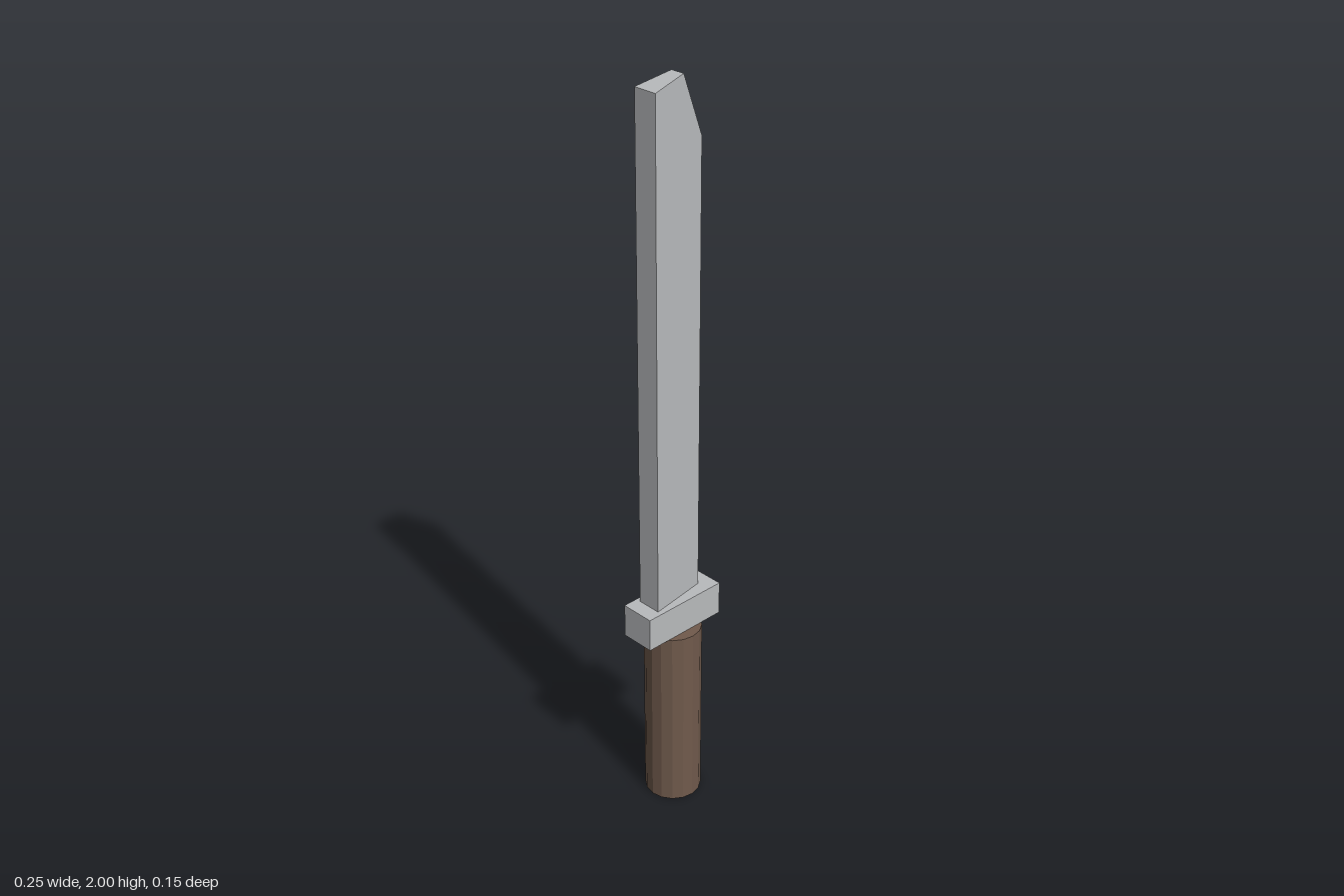
import * as THREE from 'three';

export function createModel() {
  const model = new THREE.Group();
  const steel = new THREE.MeshStandardMaterial({ name: 'steel', color: 0xb8babc, flatShading: true });
  const wood = new THREE.MeshStandardMaterial({ name: 'brown wood', color: 0x705a4c, flatShading: true });
  const offsetZ = -0.0015;

  const add = (name, geometry, material, y, z = 0) => {
    const mesh = new THREE.Mesh(geometry, material);
    mesh.name = name;
    mesh.position.set(0, y, z);
    model.add(mesh);
  };

  // Round grip with sixteen sides
  add('handle', new THREE.CylinderGeometry(0.076, 0.076, 0.528, 16), wood, 0.264);

  // Block between grip and blade
  add('guard', new THREE.BoxGeometry(0.249, 0.093, 0.095), steel, 0.5745, offsetZ);

  // Blade outline, extruded to unit depth
  const outline = new THREE.Shape([
    [-0.083, 0.6], [0.083, 0.6], [0.083, 1.84], [0.016, 2], [-0.083, 1.98],
  ].map(([x, y]) => new THREE.Vector2(x, y)));
  const blade = new THREE.ExtrudeGeometry(outline, { depth: 1, bevelEnabled: false });
  blade.translate(0, 0, -0.5);

  // Thin the blade from the thick spine (-x) to the narrow edge (+x)
  const pos = blade.attributes.position;
  for (let i = 0; i < pos.count; i++) {
    const t = (pos.getX(i) + 0.083) / 0.166;
    pos.setZ(i, pos.getZ(i) * THREE.MathUtils.lerp(0.067, 0.02, t));
  }
  blade.computeVertexNormals();
  add('blade', blade, steel, 0, offsetZ);

  return model;
}
